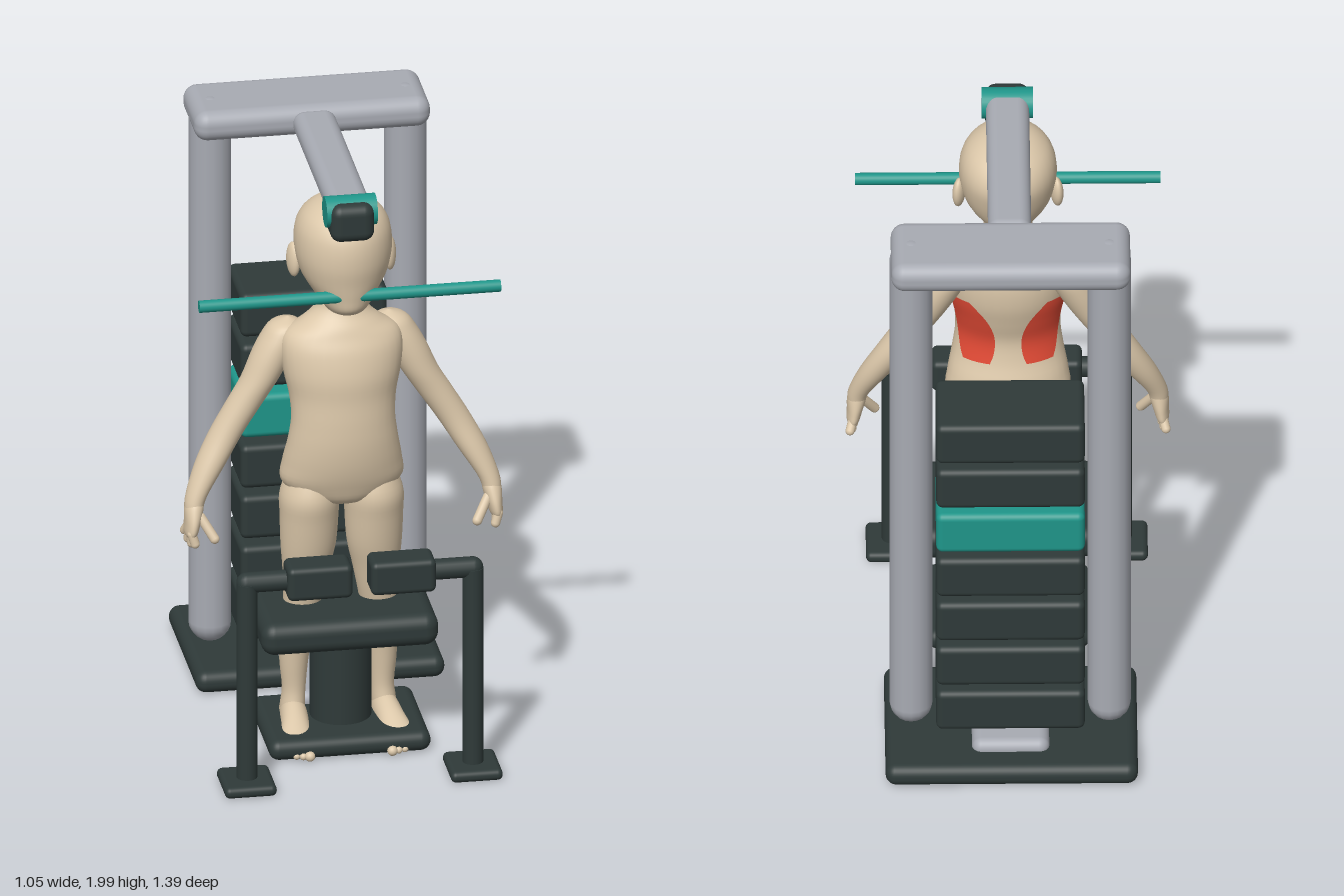
import * as THREE from 'three';
import { RoundedBoxGeometry } from 'three/addons/geometries/RoundedBoxGeometry.js';

const material = (name, color, side = THREE.FrontSide) => {
  const m = new THREE.MeshStandardMaterial({ color, side });
  m.name = name;
  return m;
};

// Surface through elliptical rings [y, cx, cz, rx, rz], listed upwards
function ringSurface(rings) {
  const centre = new THREE.CatmullRomCurve3(rings.map(r => new THREE.Vector3(r[1], r[0], r[2])), false, 'catmullrom');
  const radius = new THREE.CatmullRomCurve3(rings.map(r => new THREE.Vector3(r[3], r[4], 0)), false, 'catmullrom');
  return (t, a, grow = 1) => {
    const c = centre.getPoint(t), r = radius.getPoint(t);
    return [c.x + Math.cos(a) * Math.max(r.x, 0.001) * grow, c.y, c.z + Math.sin(a) * Math.max(r.y, 0.001) * grow];
  };
}

// Grid of faces over point(v, u); closed joins the last column to the first
function gridGeometry(point, rows, cols, closed) {
  const positions = [], index = [], width = closed ? cols : cols + 1;
  for (let i = 0; i <= rows; i++)
    for (let j = 0; j < width; j++) positions.push(...point(i / rows, j / cols));
  for (let i = 0; i < rows; i++)
    for (let j = 0; j < cols; j++) {
      const k = (j + 1) % width, a = i * width + j, b = i * width + k;
      index.push(a, a + width, b, b, a + width, b + width);
    }
  const g = new THREE.BufferGeometry();
  g.setAttribute('position', new THREE.Float32BufferAttribute(positions, 3));
  g.setIndex(index);
  g.computeVertexNormals();
  return g;
}

function loft(rings) {
  const surface = ringSurface(rings);
  return gridGeometry((v, u) => surface(v, u * Math.PI * 2), rings.length * 4, 32, true);
}

// Ring from half width, front z and back z
const profile = ([y, w, front, back]) => [y, 0, (front + back) / 2, w, (front - back) / 2];

export function createModel() {
  const model = new THREE.Group();
  model.name = 'standingFigureInWeightMachine';
  const dark = material('charcoal', 0x2f3a39);
  const silver = material('silver', 0xa8abb3);
  const teal = material('teal', 0x1f968a);
  const skin = material('skin', 0xdcc8aa);
  const red = material('muscleRed', 0xe24a35, THREE.DoubleSide);

  const add = (name, geometry, mat, x = 0, y = 0, z = 0) => {
    const mesh = new THREE.Mesh(geometry, mat);
    mesh.name = name;
    mesh.position.set(x, y, z);
    model.add(mesh);
    return mesh;
  };
  const box = (name, mat, [x0, x1], [y0, y1], [z0, z1], r) =>
    add(name, new RoundedBoxGeometry(x1 - x0, y1 - y0, z1 - z0, 4, r), mat, (x0 + x1) / 2, (y0 + y1) / 2, (z0 + z1) / 2);
  const capsule = (name, mat, from, to, r) => {
    const a = new THREE.Vector3(...from), b = new THREE.Vector3(...to), d = b.clone().sub(a);
    const mesh = add(name, new THREE.CapsuleGeometry(r, d.length(), 6, 16), mat);
    mesh.position.copy(a).add(b).multiplyScalar(0.5);
    mesh.quaternion.setFromUnitVectors(new THREE.Vector3(0, 1, 0), d.normalize());
    return mesh;
  };
  const rodX = (name, mat, x0, x1, y, z, r) => {
    const g = new THREE.CylinderGeometry(r, r, x1 - x0, 28);
    g.rotateZ(Math.PI / 2);
    return add(name, g, mat, (x0 + x1) / 2, y, z);
  };

  // Frame
  box('machineBase', dark, [-0.41, 0.405], [0.01, 0.085], [-0.695, -0.12], 0.035);
  box('floorRail', silver, [-0.125, 0.125], [0.05, 0.12], [-0.6, 0.15], 0.034);
  box('baseLink', dark, [-0.06, 0.06], [0.03, 0.06], [-0.2, 0.1], 0.01);
  box('topBeam', silver, [-0.388, 0.385], [1.895, 1.998], [-0.555, -0.27], 0.045);
  box('overheadArm', silver, [-0.07, 0.07], [1.905, 1.988], [-0.3, 0.42], 0.038);
  for (const s of [-1, 1]) capsule('column', silver, [s * 0.32, 0.15, -0.405], [s * 0.32, 1.93, -0.405], 0.07);

  // Weight stack with one selected plate
  for (let i = 0; i < 7; i++) {
    const y = 0.2 + i * 0.179;
    box('weightPlate', i === 4 ? teal : dark, [-0.24, 0.24], [y - 0.076, y + 0.076], [-0.54, -0.27], 0.022);
  }

  // Overhead pulley and pull bar
  rodX('pulley', teal, -0.083, 0.083, 1.945, 0.415, 0.051);
  box('pulleyPad', dark, [-0.072, 0.072], [1.855, 1.985], [0.365, 0.487], 0.035);
  rodX('pullBar', teal, -0.495, 0.492, 1.64, 0.415, 0.02);

  // Seat
  box('footPlate', dark, [-0.265, 0.265], [0.01, 0.08], [0.035, 0.437], 0.034);
  add('seatPost', new THREE.CylinderGeometry(0.1, 0.1, 0.33, 32), dark, 0, 0.235, 0.23);
  box('seat', dark, [-0.29, 0.29], [0.383, 0.495], [0.02, 0.445], 0.045);

  // Thigh roller stands
  for (const s of [-1, 1]) {
    box('standFoot', dark, [s * 0.37 - 0.085, s * 0.37 + 0.085], [0.01, 0.048], [0.508, 0.695], 0.018);
    add('standPost', new THREE.CylinderGeometry(0.034, 0.034, 0.7, 24), dark, s * 0.37, 0.385, 0.603);
    capsule('rollerAxle', dark, [s * 0.37, 0.735, 0.6], [s * 0.1, 0.735, 0.6], 0.034);
    box('thighRoller', dark, s > 0 ? [0.03, 0.243] : [-0.243, -0.03], [0.676, 0.792], [0.542, 0.656], 0.02);
  }

  // Torso and neck
  const torsoRings = [
    [0.84, 0.02, 0.26, 0.22], [0.87, 0.13, 0.335, 0.15], [0.93, 0.198, 0.365, 0.127], [1.0, 0.195, 0.385, 0.13],
    [1.08, 0.18, 0.395, 0.155], [1.16, 0.17, 0.395, 0.165], [1.24, 0.175, 0.39, 0.145], [1.32, 0.192, 0.388, 0.125],
    [1.4, 0.2, 0.37, 0.12], [1.45, 0.185, 0.347, 0.13], [1.485, 0.135, 0.33, 0.145], [1.52, 0.095, 0.305, 0.165],
    [1.56, 0.08, 0.29, 0.18], [1.66, 0.08, 0.28, 0.16]].map(profile);
  add('torso', loft(torsoRings), skin);

  // Back muscles follow the torso surface, tapering at both ends
  const torsoSurface = ringSurface(torsoRings);
  for (const s of [-1, 1]) {
    const patch = gridGeometry((v, u) => {
      const spread = 0.48 * Math.pow(Math.sin(Math.PI * (0.12 + 0.82 * v)), 0.5);
      const a = -0.95 + 0.28 * v + s * (u - 0.5) * 2 * spread;
      return torsoSurface((4 + 3.2 * v) / 13, s > 0 ? a : Math.PI - a, 1.025);
    }, 14, 12, false);
    add('backMuscle', patch, red);
  }

  // Head
  add('head', loft([
    [1.557, 0.01, 0.37, 0.33], [1.567, 0.055, 0.405, 0.27], [1.59, 0.08, 0.432, 0.2], [1.63, 0.108, 0.44, 0.15],
    [1.68, 0.138, 0.447, 0.122], [1.74, 0.155, 0.456, 0.1], [1.8, 0.158, 0.455, 0.087], [1.85, 0.148, 0.442, 0.1],
    [1.89, 0.122, 0.412, 0.135], [1.92, 0.075, 0.355, 0.19], [1.932, 0.001, 0.275, 0.27]].map(profile)), skin);

  for (const s of [-1, 1]) {
    const ear = add('ear', new THREE.SphereGeometry(1, 20, 14), skin, s * 0.158, 1.71, 0.25);
    ear.scale.set(0.02, 0.058, 0.034);
    ear.rotation.set(-0.15, s * -0.3, 0);

    // Arm
    const side = ([y, x, z, rx, rz]) => [y, s * x, z, rx, rz];
    add('arm', loft([
      [0.84, 0.49, 0.277, 0.028, 0.04], [0.9, 0.48, 0.267, 0.035, 0.04], [1.0, 0.43, 0.24, 0.05, 0.05],
      [1.1, 0.373, 0.218, 0.056, 0.053], [1.2, 0.31, 0.21, 0.06, 0.056], [1.28, 0.26, 0.205, 0.062, 0.063],
      [1.36, 0.22, 0.197, 0.067, 0.069], [1.42, 0.19, 0.19, 0.064, 0.068], [1.46, 0.172, 0.188, 0.05, 0.052],
      [1.482, 0.165, 0.188, 0.001, 0.001]].map(side)), skin);

    // Hand
    add('palm', loft([
      [0.765, 0.5, 0.28, 0.001, 0.001], [0.78, 0.5, 0.28, 0.02, 0.052], [0.82, 0.494, 0.28, 0.026, 0.056],
      [0.87, 0.487, 0.274, 0.031, 0.043], [0.9, 0.48, 0.268, 0.02, 0.03]].map(side)), skin);
    for (let i = 0; i < 4; i++)
      capsule('finger', skin, [s * 0.502, 0.79, 0.242 + i * 0.026],
        [s * (0.51 - 0.006 * i), [0.765, 0.75, 0.747, 0.757][i], 0.225 + i * 0.033], 0.015);
    capsule('thumb', skin, [s * 0.47, 0.84, 0.3], [s * 0.43, 0.775, 0.335], 0.016);

    // Leg
    add('leg', loft([
      [0.04, 0.15, 0.18, 0.03, 0.04], [0.09, 0.15, 0.18, 0.04, 0.054], [0.16, 0.145, 0.18, 0.038, 0.045],
      [0.25, 0.145, 0.18, 0.046, 0.053], [0.35, 0.14, 0.185, 0.054, 0.062], [0.45, 0.128, 0.213, 0.06, 0.06],
      [0.53, 0.12, 0.23, 0.067, 0.06], [0.61, 0.114, 0.236, 0.077, 0.071], [0.7, 0.108, 0.242, 0.09, 0.087],
      [0.8, 0.106, 0.246, 0.095, 0.1], [0.88, 0.105, 0.246, 0.096, 0.11], [0.96, 0.1, 0.25, 0.07, 0.08]].map(side)), skin);

    // Foot, lofted from heel to toes
    const foot = loft([
      [0.115, 0.15, -0.07, 0.001, 0.001], [0.135, 0.15, -0.07, 0.034, 0.04], [0.2, 0.15, -0.073, 0.044, 0.058],
      [0.28, 0.157, -0.066, 0.047, 0.05], [0.36, 0.168, -0.05, 0.054, 0.037], [0.41, 0.173, -0.038, 0.055, 0.026],
      [0.435, 0.174, -0.032, 0.001, 0.001]].map(side));
    foot.rotateX(Math.PI / 2);
    add('foot', foot, skin);
    for (let i = 0; i < 5; i++)
      capsule('toe', skin, [s * (0.137 + i * 0.019), 0.032, 0.4], [s * (0.135 + i * 0.021), 0.027, 0.438 - i * i * 0.0025],
        i === 0 ? 0.017 : 0.012);
  }
  return model;
}
